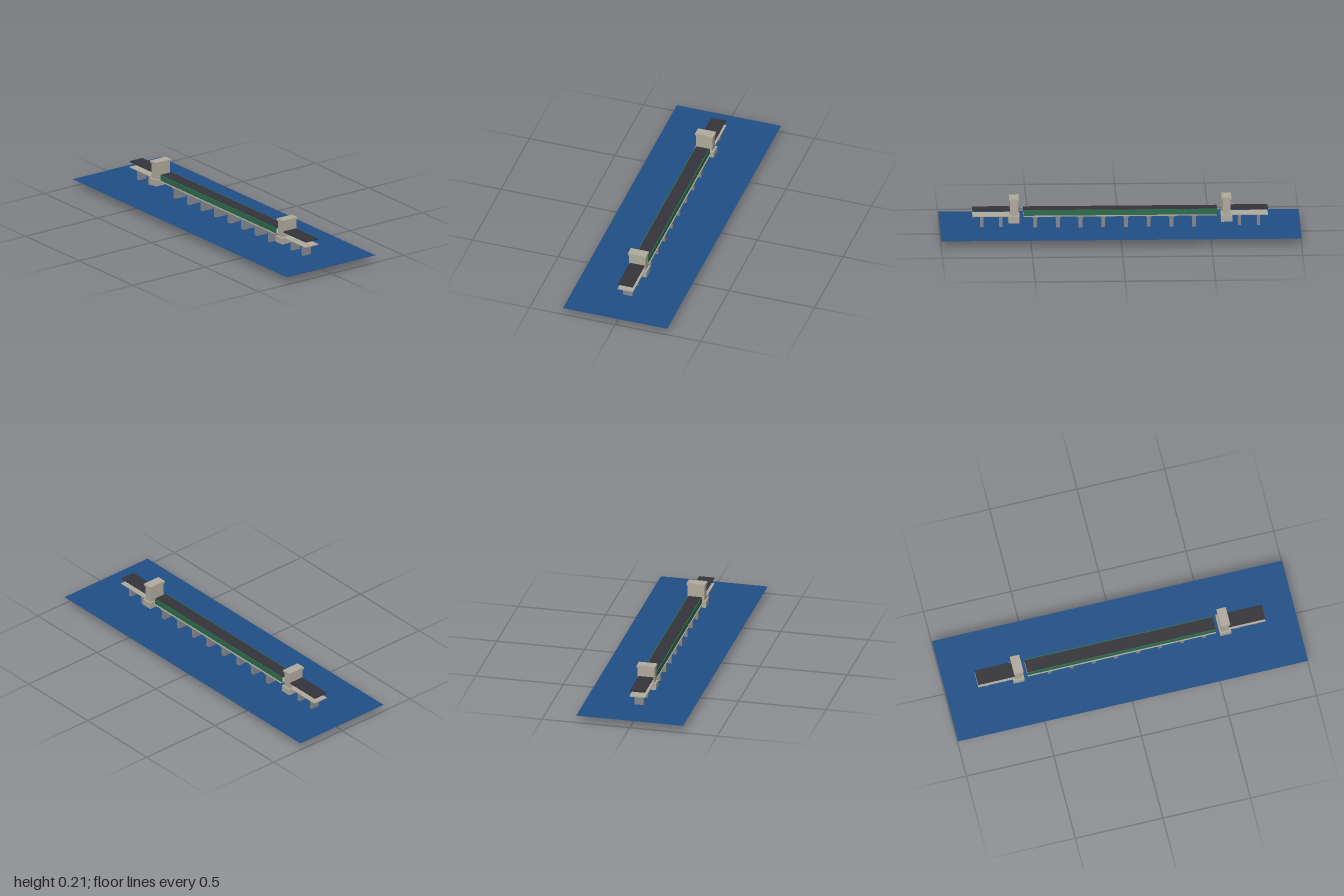
import * as THREE from 'three';

const mat = (name, color) => {
  const m = new THREE.MeshStandardMaterial({ color });
  m.name = name;
  return m;
};

export function createModel() {
  const water = mat('water blue', 0x1f4f87);
  water.side = THREE.DoubleSide;
  const stone = mat('pale stone', 0xb0ab9d);
  const concrete = mat('grey concrete', 0x858890);
  const asphalt = mat('dark asphalt', 0x35343a);
  const steel = mat('green steel', 0x2c6b4d);

  const model = new THREE.Group();
  model.name = 'riverBridge';

  // Box given by its centre x, z, its bottom and top heights, and its size
  const box = (parent, name, material, x, z, y0, y1, w, d) => {
    const mesh = new THREE.Mesh(new THREE.BoxGeometry(w, y1 - y0, d), material);
    mesh.name = name;
    mesh.position.set(x, (y0 + y1) / 2, z);
    parent.add(mesh);
  };
  const group = (name) => {
    const g = new THREE.Group();
    g.name = name;
    model.add(g);
    return g;
  };

  // River surface
  const river = new THREE.Mesh(new THREE.PlaneGeometry(2, 0.61).rotateX(-Math.PI / 2), water);
  river.name = 'river';
  river.position.y = 0.042;
  model.add(river);

  // Main span: lower deck, two girders and upper road
  const span = group('mainSpan');
  box(span, 'lowerDeck', stone, 0, 0, 0.107, 0.112, 1.075, 0.096);
  box(span, 'upperRoad', asphalt, 0, 0, 0.139, 0.145, 1.075, 0.072);
  for (const s of [-1, 1]) {
    box(span, 'girder', steel, 0, s * 0.039, 0.109, 0.143, 1.075, 0.006);
  }

  // River piers
  for (let i = 0; i < 8; i++) {
    const x = -0.41 + i * 0.126;
    const pier = group('riverPier');
    box(pier, 'footing', concrete, x, 0, 0, 0.011, 0.034, 0.106);
    box(pier, 'shaft', concrete, x, 0, 0.011, 0.101, 0.021, 0.074);
    box(pier, 'pierCap', concrete, x, 0, 0.101, 0.107, 0.032, 0.094);
  }

  // Towers and approaches at both ends
  for (const s of [-1, 1]) {
    const tower = group('tower');
    box(tower, 'towerBase', stone, s * 0.59, 0, 0.073, 0.109, 0.063, 0.116);
    box(tower, 'towerBody', stone, s * 0.59, 0, 0.109, 0.197, 0.044, 0.096);
    box(tower, 'towerCap', stone, s * 0.59, 0, 0.197, 0.21, 0.054, 0.106);

    const approach = group('approach');
    box(approach, 'approachLowerDeck', stone, s * 0.715, 0, 0.107, 0.112, 0.21, 0.09);
    box(approach, 'approachRoad', asphalt, s * 0.715, 0, 0.139, 0.145, 0.21, 0.086);
    for (const x of [0.663, 0.768]) {
      box(approach, 'approachPier', concrete, s * x, 0, 0.045, 0.107, 0.018, 0.053);
    }
  }
  return model;
}
